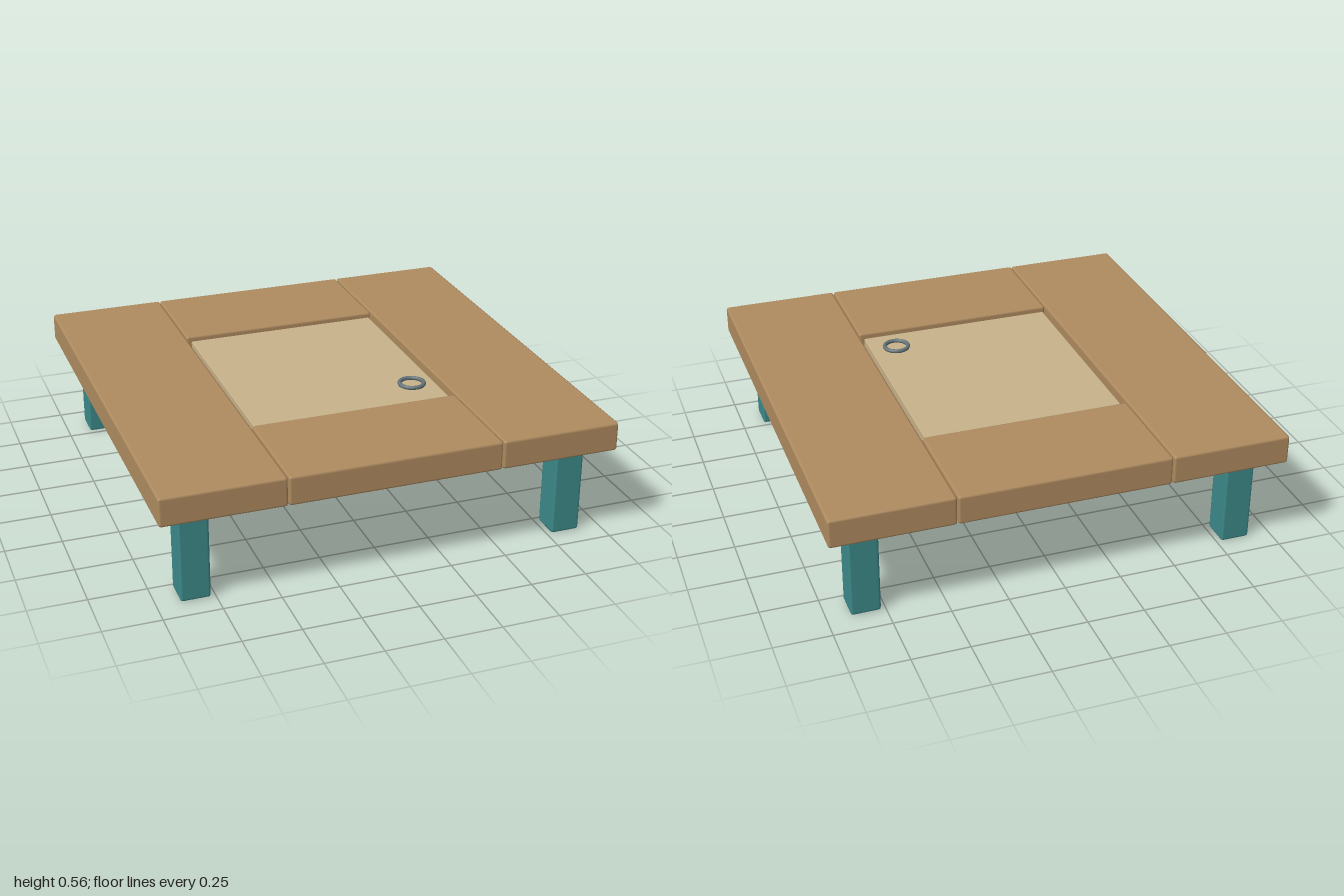
import * as THREE from 'three';
import { RoundedBoxGeometry } from 'three/addons/geometries/RoundedBoxGeometry.js';

const mat = (color) => new THREE.MeshStandardMaterial({ color });

export function createModel() {
  const table = new THREE.Group();
  table.name = 'lowTable';
  const wood = mat(0xb08c60), paleWood = mat(0xc8b28a), teal = mat(0x3d8a8a), metal = mat(0x66757a);

  // Bevelled box given by its lower and upper corners
  function block(name, material, [x0, y0, z0], [x1, y1, z1], bevel = 0.012) {
    const geometry = new RoundedBoxGeometry(x1 - x0, y1 - y0, z1 - z0, 1, bevel);
    const mesh = new THREE.Mesh(geometry, material);
    mesh.position.set((x0 + x1) / 2, (y0 + y1) / 2, (z0 + z1) / 2);
    mesh.name = name;
    table.add(mesh);
  }

  const bottom = 0.415, top = 0.545;

  // Full-length side planks
  block('rightPlank', wood, [-1, bottom, -1], [-0.469, top, 1]);
  block('leftPlank', wood, [0.469, bottom, -1], [1, top, 1]);

  // Short planks between them
  block('backPlank', wood, [-0.466, bottom, -1], [0.466, top, -0.503]);
  block('frontPlank', wood, [-0.466, bottom, 0.503], [0.466, top, 1]);

  // Loose hatch, set slightly below the planks
  block('hatchPanel', paleWood, [-0.448, 0.44, -0.484], [0.448, 0.53, 0.484], 0.006);

  // Pull ring on the hatch
  const ring = new THREE.Mesh(new THREE.TorusGeometry(0.054, 0.0095, 8, 32), metal);
  ring.rotation.x = Math.PI / 2;
  ring.position.set(0.333, 0.5455, 0.333);
  ring.name = 'pullRing';
  table.add(ring);

  // Four square legs
  for (const x of [-0.835, 0.835]) {
    for (const z of [-0.835, 0.835]) {
      block('leg', teal, [x - 0.065, 0, z - 0.065], [x + 0.065, bottom + 0.005, z + 0.065]);
    }
  }
  return table;
}
